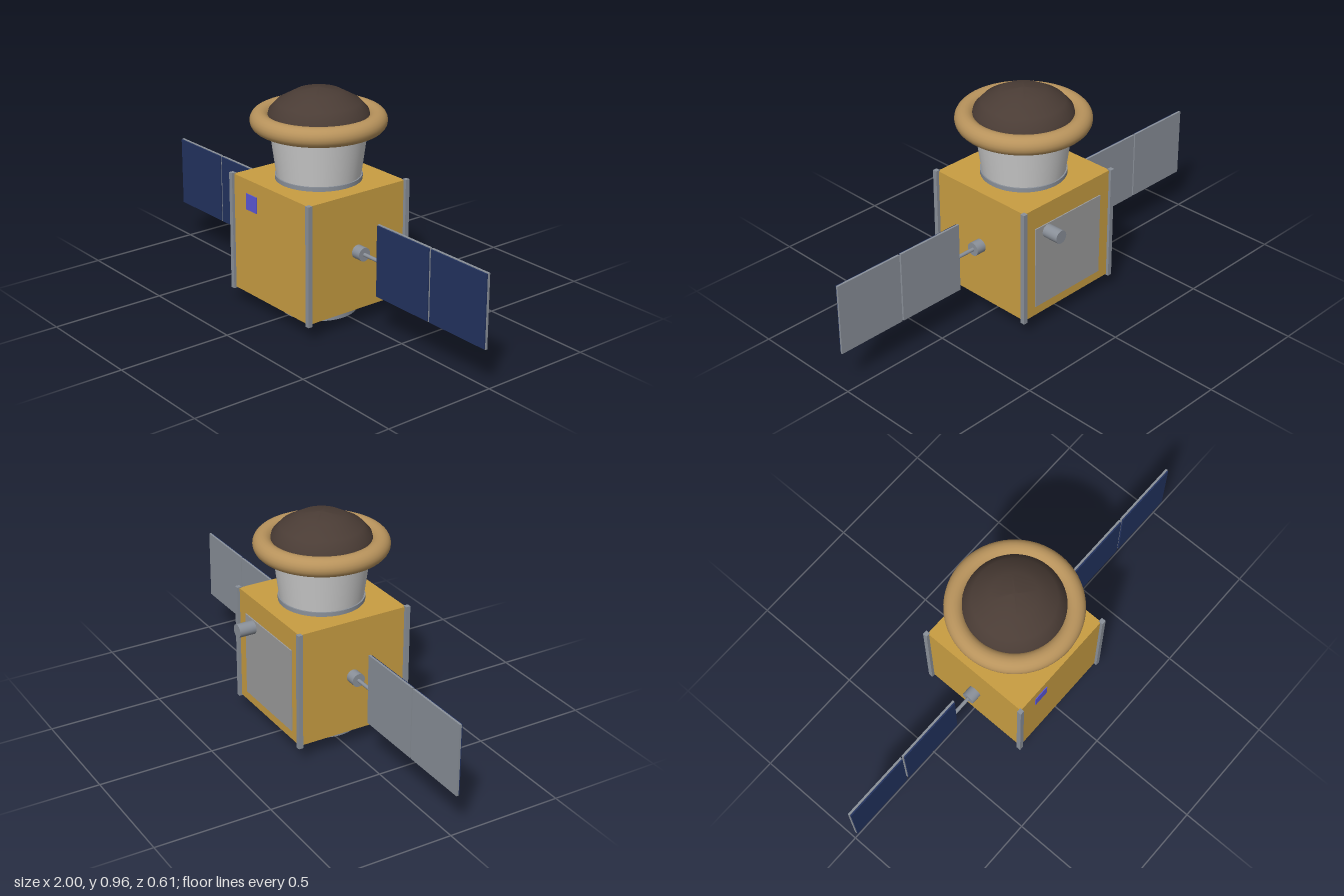
import * as THREE from 'three';
import { toCreasedNormals } from 'three/addons/utils/BufferGeometryUtils.js';

const mat = (color) => new THREE.MeshStandardMaterial({ color });
const gold = mat(0xc89d42), steel = mat(0x8a9099), white = mat(0xd8d8dc);
const tan = mat(0xb8935c), brown = mat(0x4a3c35), navy = mat(0x22325f);
const radiatorGrey = mat(0x9c9c9c), blue = mat(0x5b57d6);

export function createModel() {
  const model = new THREE.Group();
  model.name = 'satellite';

  // everything is laid out around the body axis, which sits slightly forward
  const craft = new THREE.Group();
  craft.name = 'spacecraft';
  craft.position.z = 0.025;
  model.add(craft);

  const add = (name, geometry, material, x = 0, y = 0, z = 0, parent = craft) => {
    const mesh = new THREE.Mesh(geometry, material);
    mesh.name = name;
    mesh.position.set(x, y, z);
    parent.add(mesh);
    return mesh;
  };
  const box = (w, h, d) => new THREE.BoxGeometry(w, h, d);
  const cyl = (rTop, rBottom, h, n = 32) => new THREE.CylinderGeometry(rTop, rBottom, h, n);
  const lathe = (pts, crease) => toCreasedNormals(
    new THREE.LatheGeometry(pts.map(([r, y]) => new THREE.Vector2(r, y)), 48), crease);

  // main body with corner rails
  add('body', box(0.5, 0.505, 0.5), gold, 0, 0.3225, 0);
  for (const sx of [-1, 1]) {
    for (const sz of [-1, 1]) {
      add('cornerRail', box(0.02, 0.515, 0.02), steel, sx * 0.254, 0.3225, sz * 0.252);
    }
  }

  // hollow docking ring underneath, with two latch pins
  add('baseRing', lathe([[0.146, 0], [0.162, 0], [0.162, 0.07], [0.146, 0.07], [0.146, 0]], 0.6), steel);
  for (const s of [-1, 1]) {
    add('latchPin', cyl(0.017, 0.017, 0.052, 16), steel, s * 0.115, 0.045, -s * 0.115);
  }

  // upper module: collar, flared neck, inflated ring and domed shield
  add('collar', cyl(0.18, 0.18, 0.018, 48), steel, 0, 0.584, 0);
  add('neck', cyl(0.208, 0.174, 0.25, 32), white, 0, 0.715, 0);
  const ring = add('inflatedRing', new THREE.TorusGeometry(0.239, 0.041, 20, 64), tan, 0, 0.823, 0);
  ring.rotation.x = Math.PI / 2;
  add('dome', lathe([[0.21, 0.835], [0.203, 0.864], [0.17, 0.9], [0.094, 0.942], [0.014, 0.956], [0, 0.958]], 1), brown);

  // front sensor, rear radiator and rear thruster
  add('frontSensor', box(0.07, 0.07, 0.008), blue, -0.125, 0.48, 0.25);
  add('radiator', box(0.38, 0.37, 0.01), radiatorGrey, 0, 0.297, -0.25);
  const thruster = add('rearThruster', cyl(0.029, 0.029, 0.08, 24), steel, 0.122, 0.45, -0.29);
  thruster.rotation.x = Math.PI / 2;

  // solar wings: hub, boom and two panels on each side
  for (const s of [-1, 1]) {
    const wing = new THREE.Group();
    wing.name = s > 0 ? 'leftSolarWing' : 'rightSolarWing';
    wing.position.y = 0.325;
    craft.add(wing);
    const hub = add('wingHub', cyl(0.029, 0.029, 0.045, 24), steel, s * 0.2725, 0, 0, wing);
    const boom = add('wingBoom', cyl(0.008, 0.008, 0.13, 12), steel, s * 0.315, 0, 0, wing);
    hub.rotation.z = boom.rotation.z = Math.PI / 2;
    for (const x of [0.5295, 0.8455]) {
      add('panelBacking', box(0.309, 0.31, 0.009), steel, s * x, 0, -0.0025, wing);
      add('solarCells', box(0.303, 0.304, 0.006), navy, s * x, 0, 0.005, wing);
    }
  }
  return model;
}
